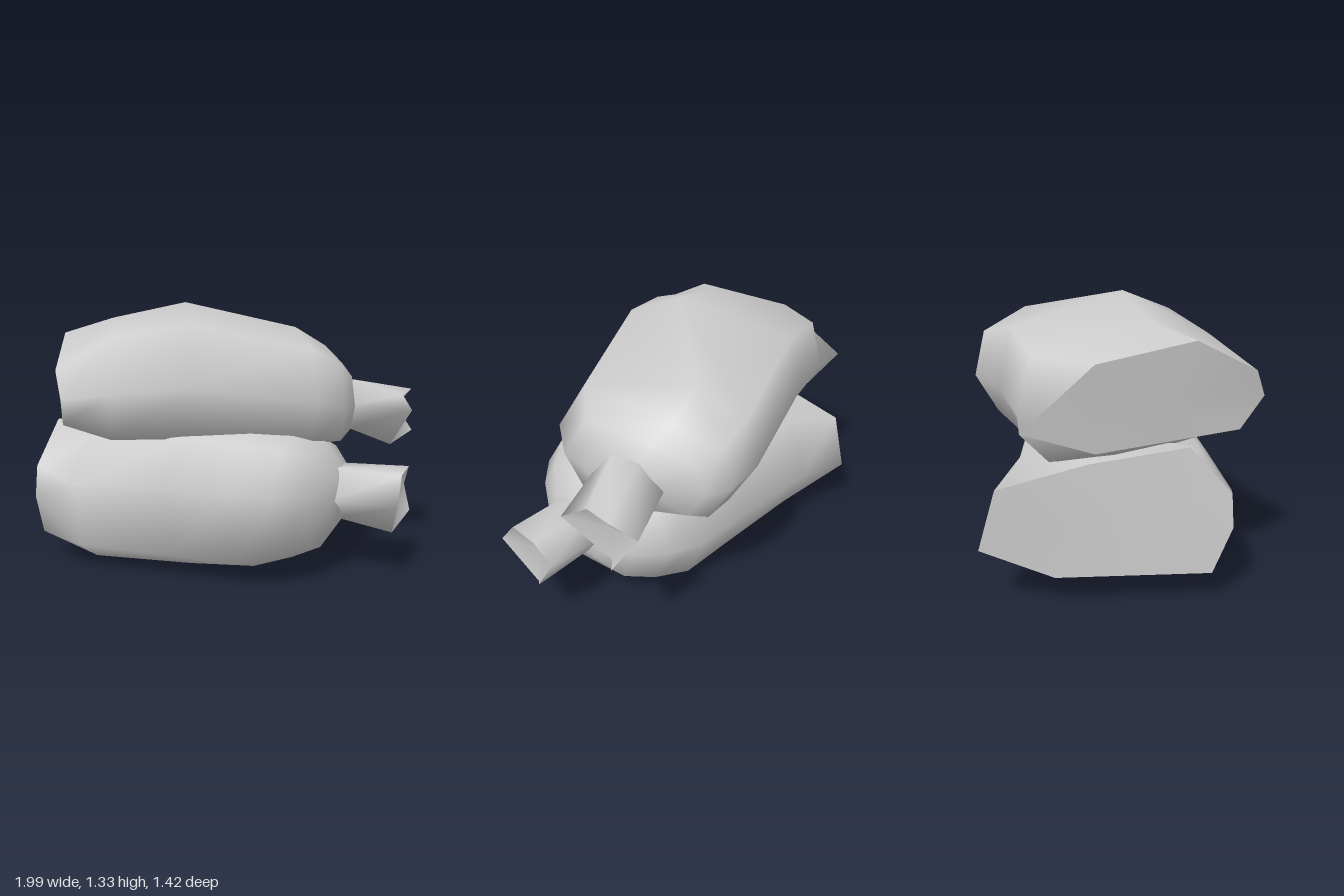
import * as THREE from 'three';

// Cross-section outlines: [across -1..1, up 0..1], running back, top, front, bottom
const UPPER_SHAPE = [[-1, 0.42], [-0.88, 0.81], [0, 1], [0.7, 0.86], [1, 0.46], [0.77, 0.1], [0.1, 0], [-0.75, 0.07]];
const LOWER_SHAPE = [[-1, 0.42], [-0.8, 0.86], [0, 1], [0.7, 0.9], [1, 0.6], [0.88, 0.14], [0.3, 0], [-0.8, 0.1]];

function geometry(points, index) {
  const g = new THREE.BufferGeometry();
  g.setAttribute('position', new THREE.Float32BufferAttribute(points.flat(), 3));
  g.setIndex(index);
  g.computeVertexNormals();
  return g;
}

// Smooth skin through rings of equal point count; skip(ring, side, half) leaves openings
function skin(rings, skip = () => false) {
  const n = rings[0].length, index = [];
  for (let r = 0; r < rings.length - 1; r++) {
    for (let i = 0; i < n; i++) {
      const a = r * n + i, b = r * n + (i + 1) % n;
      if (!skip(r, i, 0)) index.push(a, b, a + n);
      if (!skip(r, i, 1)) index.push(b, b + n, a + n);
    }
  }
  return geometry(rings.flat(), index);
}

// Fan closing a ring, with its middle pushed along x by depth
function fan(ring, depth = 0, reverse = false) {
  const n = ring.length;
  const mid = [0, 1, 2].map(k => ring.reduce((sum, p) => sum + p[k], 0) / n);
  mid[0] += depth;
  const index = [];
  for (let i = 0; i < n; i++) {
    const j = (i + 1) % n;
    index.push(n, reverse ? j : i, reverse ? i : j);
  }
  return geometry([...ring, mid], index);
}

// Stations [along, back, front, bottom, top, ridge] turned about y into rings;
// ridge places one outline corner across the ring
function makeRings(stations, shape, ridgeCorner, angle) {
  const c = Math.cos(angle), s = Math.sin(angle);
  return stations.map(([t, back, front, low, high, ridge]) =>
    shape.map(([u, v], i) => {
      const w = i === ridgeCorner ? ridge : (back + front) / 2 + u * (front - back) / 2;
      return [c * t + s * w, low + v * (high - low), -s * t + c * w];
    }));
}

export function createModel() {
  const model = new THREE.Group();
  const grey = new THREE.MeshStandardMaterial({ color: 0xcccccc, side: THREE.DoubleSide });
  grey.name = 'plain grey';

  const add = (parent, name, geo) => {
    const mesh = new THREE.Mesh(geo, grey);
    mesh.name = name;
    parent.add(mesh);
  };

  function joint(name, cut, rings, base, tip, skip) {
    const group = new THREE.Group();
    group.name = name;
    add(group, 'body', skin([cut, ...rings], skip));
    add(group, 'cutFace', fan(cut, 0, true));
    // Short bone with a hollowed end
    add(group, 'bone', skin([base, tip]));
    add(group, 'boneEnd', fan(tip, -0.07));
    model.add(group);
  }

  // Upper joint, turned so its cut face looks partly forward
  joint('upperJoint',
    [[-1, 0.87, -0.37], [-0.87, 1.12, -0.07], [-0.68, 1.18, 0.37], [-0.555, 1.02, 0.66],
      [-0.5, 0.89, 0.71], [-0.57, 0.75, 0.59], [-0.7, 0.745, 0.3], [-0.87, 0.74, -0.07]],
    makeRings([
      [-0.54, -0.69, 0.42, 0.61, 1.25, -0.08],
      [-0.166, -0.64, 0.42, 0.6, 1.33, 0],
      [0.45, -0.575, 0.4, 0.58, 1.19, -0.28],
      [0.61, -0.5, 0.3, 0.59, 1.09, -0.22],
      [0.69, -0.4, 0.16, 0.65, 1, -0.15],
      [0.725, -0.18, 0, 0.77, 0.88, -0.09],
    ], UPPER_SHAPE, 2, 0.435),
    [[0.56, 0.8, -0.51], [0.6, 0.92, -0.4], [0.65, 0.93, -0.28],
      [0.67, 0.81, -0.18], [0.62, 0.66, -0.34], [0.58, 0.71, -0.45]],
    [[0.83, 0.76, -0.63], [0.92, 0.86, -0.56], [0.9, 0.84, -0.4],
      [0.96, 0.78, -0.3], [0.83, 0.56, -0.47], [0.93, 0.63, -0.57]]);

  // Lower joint, open along its underside from the cut face to a point near the middle
  joint('lowerJoint',
    [[-0.84, 0.29, -0.58], [-0.84, 0.57, -0.5], [-0.8, 0.67, -0.1], [-0.76, 0.73, 0.34],
      [-0.77, 0.52, 0.53], [-0.78, 0.36, 0.54], [-0.8, 0.15, 0.45], [-0.82, 0.145, -0.25]],
    makeRings([
      [-0.54, -0.51, 0.57, 0.02, 0.73, 0.36],
      [-0.05, -0.5, 0.53, 0.012, 0.76, 0.27],
      [0.26, -0.49, 0.5, 0, 0.75, 0.16],
      [0.45, -0.43, 0.47, 0.06, 0.71, 0.12],
      [0.58, -0.32, 0.34, 0.11, 0.65, 0.06],
      [0.67, -0.19, 0.2, 0.25, 0.53, 0],
      [0.69, -0.06, 0.06, 0.35, 0.43, 0],
    ], LOWER_SHAPE, 6, 0),
    [[0.64, 0.41, -0.18], [0.64, 0.52, -0.1], [0.64, 0.53, 0.07],
      [0.64, 0.39, 0.18], [0.64, 0.25, -0.02], [0.64, 0.31, -0.11]],
    [[0.95, 0.42, -0.18], [0.98, 0.53, -0.1], [0.97, 0.52, 0.07],
      [0.97, 0.39, 0.18], [0.92, 0.2, -0.03], [0.99, 0.3, -0.12]],
    (ring, side, half) => side === 6 && (ring < 2 || (ring === 2 && half === 0)));

  return model;
}
